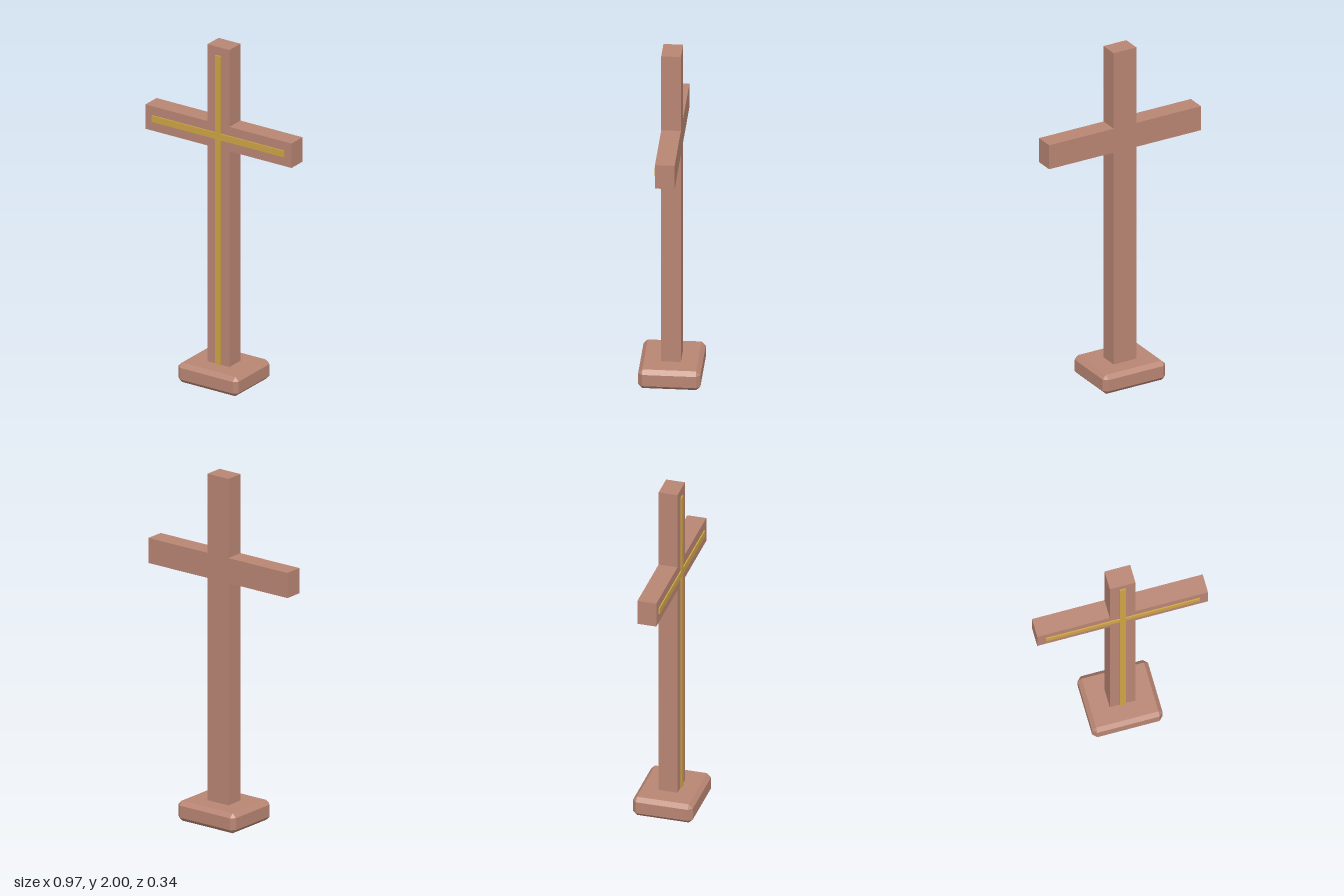
import * as THREE from 'three';
import { ConvexGeometry } from 'three/addons/geometries/ConvexGeometry.js';

// Box with every edge cut by a flat chamfer
function chamferedBox(w, h, d, c) {
  const points = [];
  const x = w / 2, y = h / 2, z = d / 2;
  for (const sx of [-1, 1]) for (const sy of [-1, 1]) for (const sz of [-1, 1]) {
    points.push(
      new THREE.Vector3(sx * x, sy * (y - c), sz * (z - c)),
      new THREE.Vector3(sx * (x - c), sy * y, sz * (z - c)),
      new THREE.Vector3(sx * (x - c), sy * (y - c), sz * z)
    );
  }
  return new ConvexGeometry(points);
}

// Cross outline: upright half width a, arm half length b, arm from y0 to y1
function crossGeometry(a, b, bottom, y0, y1, top, depth) {
  const half = [[a, bottom], [a, y0], [b, y0], [b, y1], [a, y1], [a, top]];
  const outline = [...half, ...half.map(([x, y]) => [-x, y]).reverse()];
  const shape = new THREE.Shape(outline.map(([x, y]) => new THREE.Vector2(x, y)));
  return new THREE.ExtrudeGeometry(shape, { depth, bevelEnabled: false });
}

export function createModel() {
  const model = new THREE.Group();
  model.name = 'standingCross';

  const wood = new THREE.MeshStandardMaterial({ color: 0xb98674 });
  wood.name = 'reddish wood';
  const gold = new THREE.MeshStandardMaterial({ color: 0xcfa544 });
  gold.name = 'gold';

  const add = (name, geometry, material, y, z) => {
    const mesh = new THREE.Mesh(geometry, material);
    mesh.name = name;
    mesh.position.set(0, y, z);
    model.add(mesh);
  };

  // Chamfered foot
  add('base', chamferedBox(0.4, 0.115, 0.342, 0.023), wood, 0.0575, 0);

  // Upright and arms in one piece
  add('cross', crossGeometry(0.073, 0.485, 0.1, 1.398, 1.543, 2, 0.108), wood, 0, -0.055);

  // Thin raised strip along the front
  add('inlay', crossGeometry(0.017, 0.438, 0.115, 1.452, 1.49, 1.95, 0.008), gold, 0, 0.052);

  return model;
}
